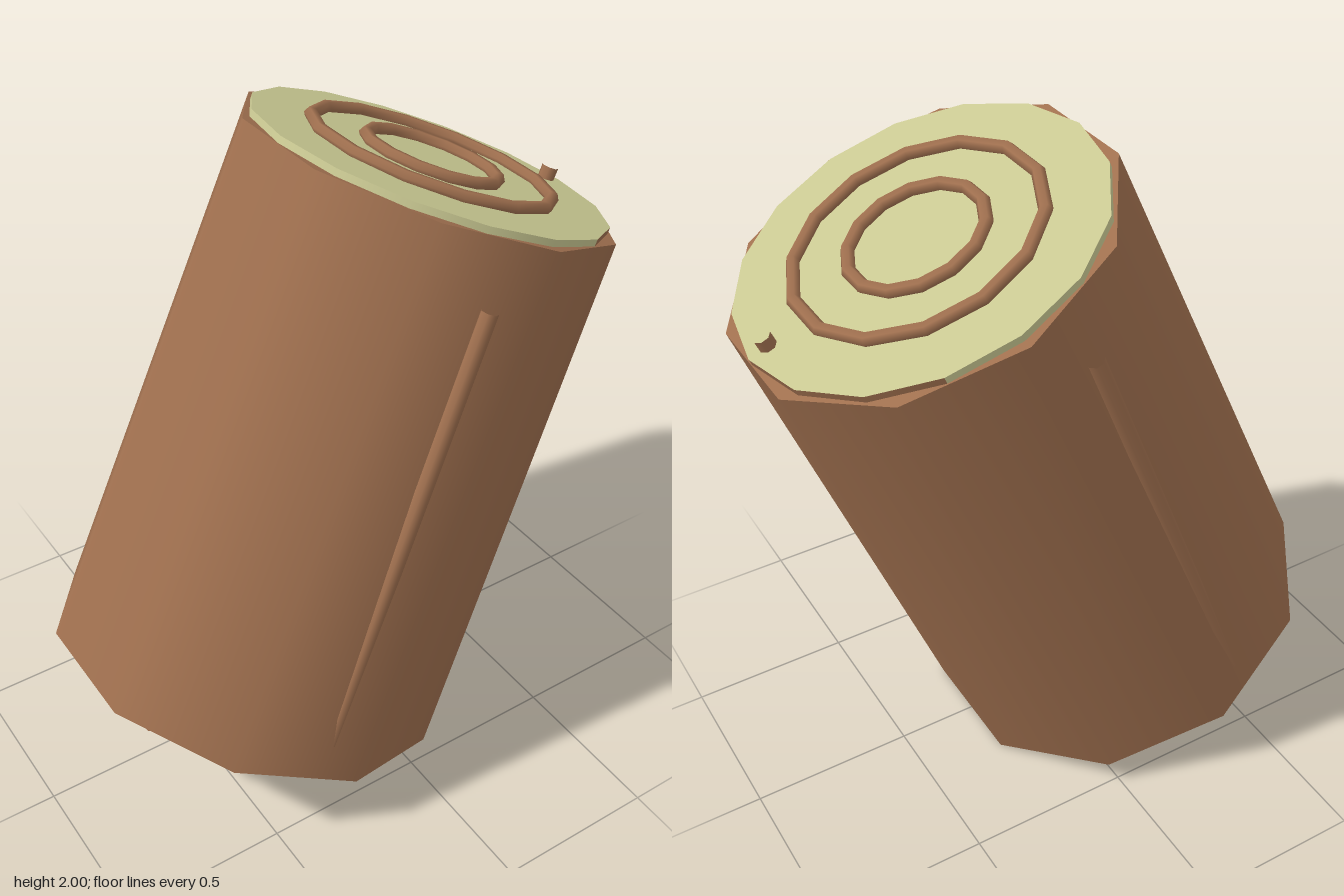
import * as THREE from 'three';

const HALF = 0.837; // half length of the log

export function createModel() {
  const bark = new THREE.MeshStandardMaterial({ color: 0xa0704f });
  bark.name = 'bark brown';
  const wood = new THREE.MeshStandardMaterial({ color: 0xc9c892 });
  wood.name = 'pale cut wood';

  const root = new THREE.Group();
  root.name = 'log';
  const log = new THREE.Group();
  log.name = 'tiltedLog';
  log.position.set(0.025, 1.009, 0);
  log.rotation.z = -0.397;
  root.add(log);

  const add = (name, geometry, material, parent = log) => {
    const mesh = new THREE.Mesh(geometry, material);
    mesh.name = name;
    parent.add(mesh);
    return mesh;
  };

  // Tapered ten-sided trunk
  add('trunk', new THREE.CylinderGeometry(0.56, 0.625, HALF * 2, 10), bark);

  // Cut ends: thin disc with a two-coloured rim and two growth rings
  const rimStart = Math.PI * 0.125, rimArc = Math.PI * 0.75;
  for (const side of [1, -1]) {
    const end = new THREE.Group();
    end.name = side > 0 ? 'topEnd' : 'bottomEnd';
    end.position.y = side * HALF;
    log.add(end);

    const face = add('cutFace', new THREE.CircleGeometry(0.53, 16), side > 0 ? wood : bark, end);
    face.rotation.x = -side * Math.PI / 2;
    face.position.y = side * 0.02;

    add('barkRim', new THREE.CylinderGeometry(0.53, 0.53, 0.04, 6, 1, true, rimStart, rimArc), bark, end);
    add('woodRim', new THREE.CylinderGeometry(0.53, 0.53, 0.04, 10, 1, true,
      rimStart + rimArc, Math.PI * 2 - rimArc), wood, end);

    for (const radius of [0.355, 0.195]) {
      const ring = add('growthRing', new THREE.TorusGeometry(radius, 0.02, 6, 14), bark, end);
      ring.rotation.set(Math.PI / 2, 0, Math.PI / 2);
      ring.position.y = side * 0.03;
    }
  }

  // Small pegs: one on the top end, a pair on the bottom end
  for (const [x, y, z] of [[0.47, 1, 0], [-0.46, -1, 0.21], [-0.46, -1, -0.21]]) {
    const peg = add('peg', new THREE.CylinderGeometry(0.025, 0.025, 0.08, 7, 1, y > 0), bark);
    peg.position.set(x, y * (HALF + 0.017), z);
  }

  // Long bark ridges that sink into the trunk towards the bottom
  for (const side of [1, -1]) {
    const path = new THREE.LineCurve3(
      new THREE.Vector3(-0.105, HALF - 1.56, side * 0.562),
      new THREE.Vector3(-0.135, HALF - 0.19, side * 0.535));
    add('barkRidge', new THREE.TubeGeometry(path, 1, 0.025, 7), bark);
  }

  return root;
}
